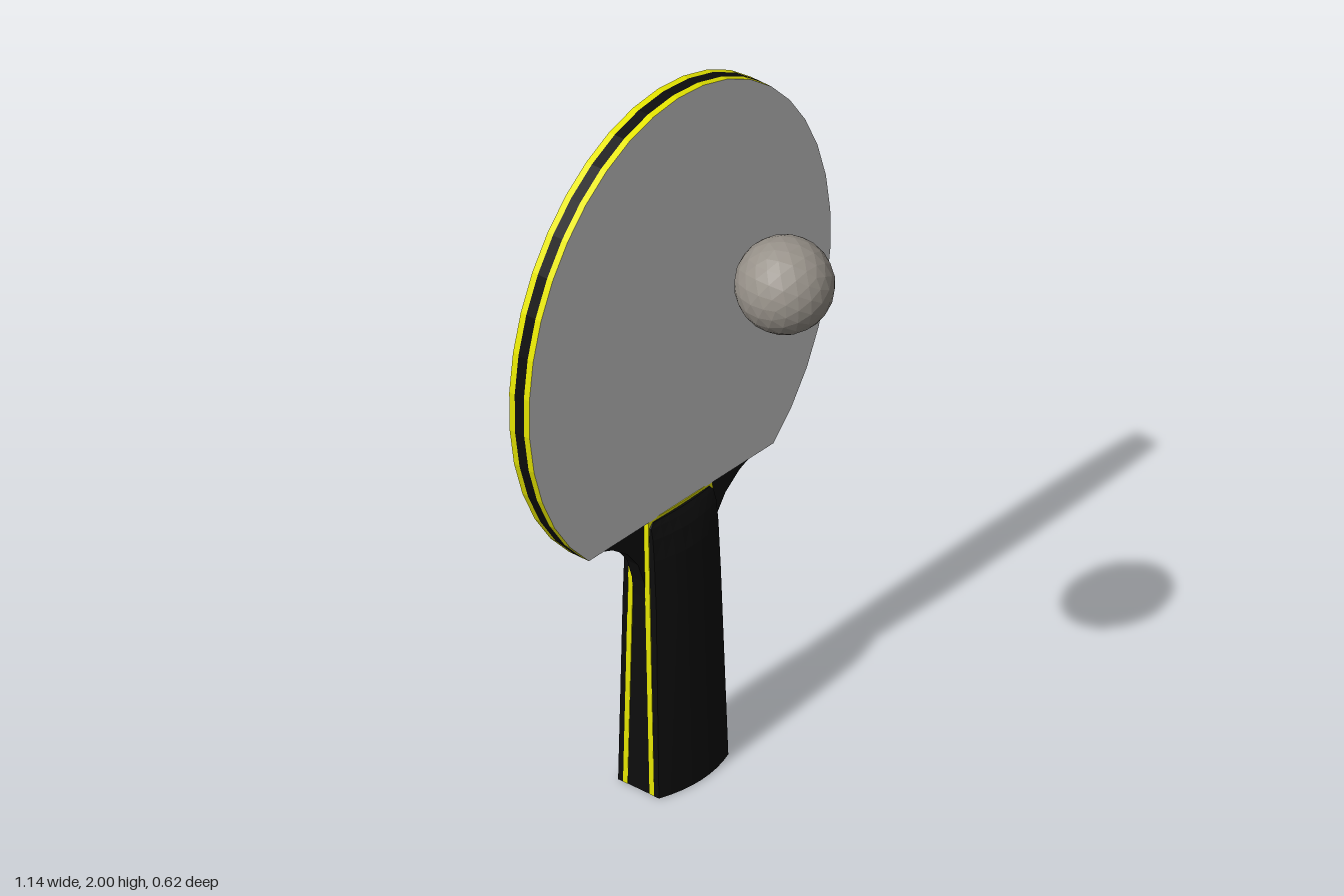
import * as THREE from 'three';

const mat = (color, flatShading = true) => new THREE.MeshStandardMaterial({ color, flatShading });
const BLACK = mat(0x0d0d0d), YELLOW = mat(0xe6e600), GREY = mat(0xcccccc), BALL = mat(0x98928a);

// Head: ellipse cut by a straight edge at y = CUT. All heights are measured from the handle end.
const CX = 0.57, RY = 0.67, MID = 1.33, CUT = 0.8, SEGMENTS = 30;
const HALF_BLADE = 0.015, HALF_TOTAL = 0.033;

// Points run counter-clockwise from the right end of the cut to the left end.
function headArc() {
  const start = Math.asin((CUT - MID) / RY);
  return Array.from({ length: SEGMENTS + 1 }, (_, i) => {
    const a = start + (Math.PI - 2 * start) * i / SEGMENTS;
    return new THREE.Vector2(CX * Math.cos(a), MID + RY * Math.sin(a));
  });
}

function addMesh(parent, name, geometry, material) {
  const mesh = new THREE.Mesh(geometry, material);
  mesh.name = name;
  parent.add(mesh);
  return mesh;
}

// Wooden blade with flared neck and tang; the tang thickens towards the handle end.
function bladeGeometry() {
  const neck = [[0.13, 0], [0.122, 0.57], [0.127, 0.62], [0.147, 0.68], [0.185, 0.73], [0.24, 0.77], [0.3, 0.793]];
  const right = neck.map(([x, y]) => new THREE.Vector2(x, y));
  const left = neck.map(([x, y]) => new THREE.Vector2(-x, y)).reverse();
  const g = new THREE.ExtrudeGeometry(new THREE.Shape([...right, ...headArc(), ...left]),
    { depth: 2 * HALF_BLADE, bevelEnabled: false });
  g.translate(0, 0, -HALF_BLADE);
  const p = g.attributes.position;
  for (let i = 0; i < p.count; i++) {
    p.setZ(i, p.getZ(i) * (1 + 1.5 * Math.max(0, CUT - p.getY(i)) / CUT));
  }
  g.computeVertexNormals();
  return g;
}

// Loft of rows [y, halfWidth, innerZ, edgeZ, middleZ]: flat inside, bowed outside, closed ends.
function handleHalf(rows, steps = 8) {
  const pos = [], index = [], n = steps + 3;
  for (const [y, w, zi, ze, zm] of rows) {
    pos.push(-w, y, zi);
    for (let i = 0; i <= steps; i++) {
      const t = -1 + 2 * i / steps;
      pos.push(w * t, y, ze + (zm - ze) * (1 - t * t));
    }
    pos.push(w, y, zi);
  }
  for (let r = 0; r < rows.length - 1; r++) {
    for (let i = 0; i < n; i++) {
      const a = r * n + i, b = r * n + (i + 1) % n;
      index.push(a, b, b + n, a, b + n, a + n);
    }
  }
  const top = (rows.length - 1) * n;
  for (let i = 1; i < n - 1; i++) {
    index.push(0, i + 1, i, top, top + i, top + i + 1);
  }
  const g = new THREE.BufferGeometry();
  g.setAttribute('position', new THREE.Float32BufferAttribute(pos, 3));
  g.setIndex(index);
  const flat = g.toNonIndexed();
  flat.computeVertexNormals();
  return flat;
}

export function createModel() {
  const model = new THREE.Group();
  model.name = 'tableTennisSet';

  // Paddle, turned slightly about its own head centre
  const paddle = new THREE.Group();
  paddle.name = 'paddle';
  paddle.position.set(0, MID, -0.219);
  paddle.rotation.set(0, 0.021, 0.0095);
  model.add(paddle);
  const body = new THREE.Group();
  body.name = 'paddleBody';
  body.position.y = -MID;
  paddle.add(body);

  addMesh(body, 'blade', bladeGeometry(), BLACK);

  const sheet = new THREE.ExtrudeGeometry(new THREE.Shape(headArc()),
    { depth: HALF_TOTAL - HALF_BLADE, bevelEnabled: false });
  sheet.translate(0, 0, HALF_BLADE);
  const liner = handleHalf([
    [0, 0.131, 0.036, 0.051, 0.051],
    [0.775, 0.122, 0.015, 0.031, 0.031],
    [0.803, 0.12, 0.014, 0.031, 0.036],
  ]);
  const grip = handleHalf([
    [0, 0.131, 0.05, 0.067, 0.092],
    [0.55, 0.122, 0.036, 0.055, 0.08],
    [0.69, 0.121, 0.032, 0.049, 0.073],
    [0.75, 0.12, 0.03, 0.044, 0.062],
    [0.78, 0.118, 0.029, 0.037, 0.049],
    [0.794, 0.107, 0.028, 0.034, 0.041],
  ]);

  // Same layers on both faces
  for (const side of ['front', 'back']) {
    const half = new THREE.Group();
    half.name = side + 'Layers';
    half.rotation.y = side === 'front' ? 0 : Math.PI;
    body.add(half);
    addMesh(half, side + 'RubberSheet', sheet, [GREY, YELLOW]); // grey face, yellow sponge edge
    addMesh(half, side + 'HandleLiner', liner, YELLOW);
    addMesh(half, side + 'Grip', grip, BLACK);
  }

  // Ball floating in front of the head
  const ball = addMesh(model, 'ball', new THREE.IcosahedronGeometry(0.126, 3), BALL);
  ball.position.set(-0.02, 1.617, 0.183);
  return model;
}
